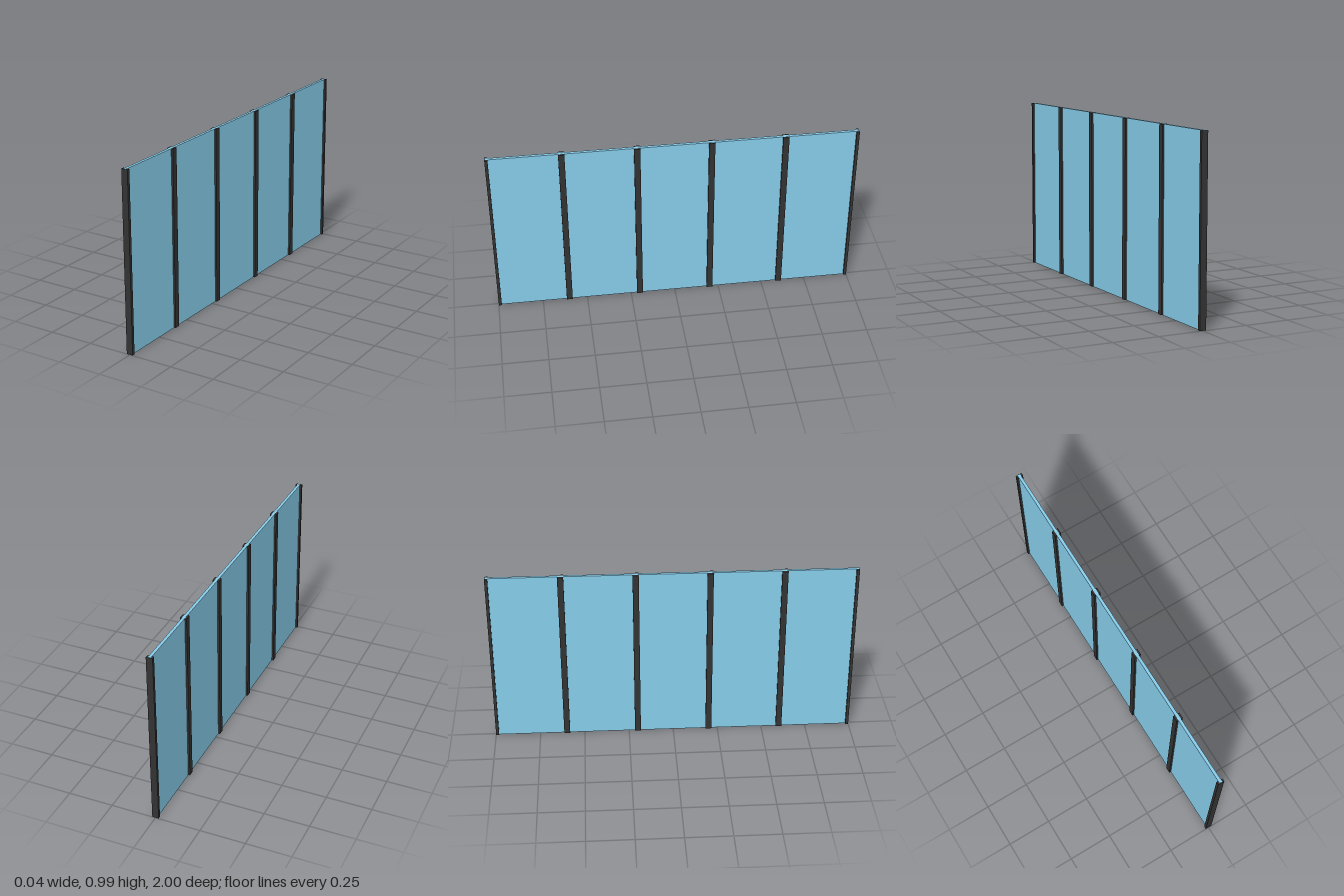
import * as THREE from 'three';

const HEIGHT = 0.988;
const LENGTH = 2;
const BAYS = 5;
const POST_DEPTH = 0.036;
const POST_WIDTH = 0.033;
const GLASS_DEPTH = 0.016;

export function createModel() {
  const model = new THREE.Group();
  model.name = 'glassPartition';
  const glassMaterial = new THREE.MeshStandardMaterial({ color: 0x87ceeb });
  const frameMaterial = new THREE.MeshStandardMaterial({ color: 0x333333 });

  function addBox(name, material, depth, height, width, y, z) {
    const mesh = new THREE.Mesh(new THREE.BoxGeometry(depth, height, width), material);
    mesh.name = name;
    mesh.position.set(0, y, z);
    model.add(mesh);
  }

  // One continuous glass sheet, a hair taller than the posts it passes through
  addBox('glassPanel', glassMaterial, GLASS_DEPTH, HEIGHT, LENGTH - 0.004, HEIGHT / 2, 0);

  // Evenly spaced mullions; the two end ones are half width, flush with the ends
  for (let i = 0; i <= BAYS; i++) {
    const isEnd = i === 0 || i === BAYS;
    const width = isEnd ? POST_WIDTH / 2 : POST_WIDTH;
    let z = -LENGTH / 2 + (i * LENGTH) / BAYS;
    if (isEnd) z -= Math.sign(z) * width / 2;
    addBox(isEnd ? 'endPost' : 'mullion', frameMaterial, POST_DEPTH, HEIGHT - 0.002, width, HEIGHT / 2, z);
  }
  return model;
}
